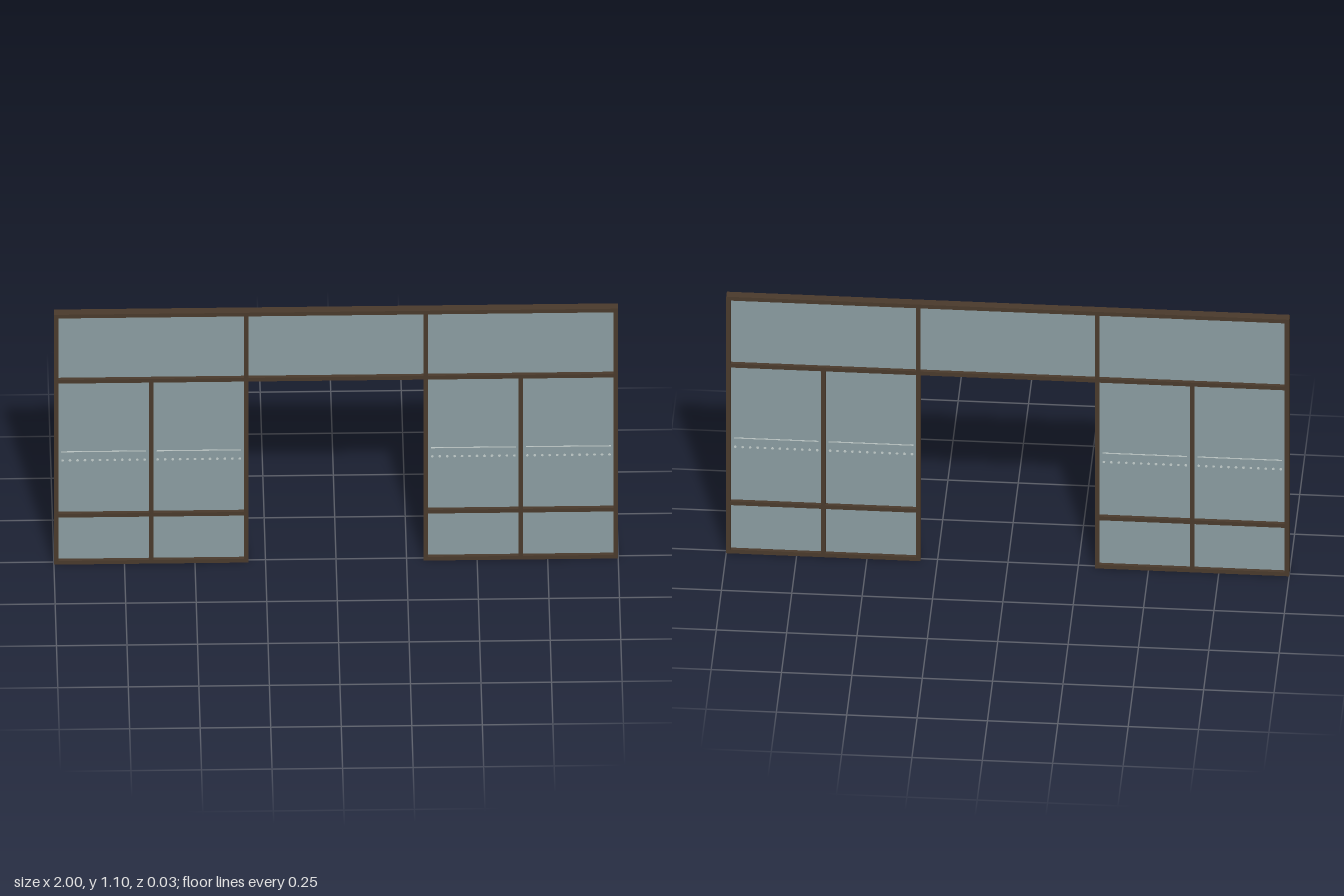
import * as THREE from 'three';

const H = 1.1, DEPTH = 0.032, BAR = 0.016;
const JAMB = 0.318, MULLION = 0.655, SIDE = 1 - BAR / 2;
const SILL = BAR / 2, RAIL = 0.215, TRANSOM = 0.805, HEAD = H - BAR / 2;

export function createModel() {
  const root = new THREE.Group();
  root.name = 'glazedPartition';
  const frameMat = new THREE.MeshStandardMaterial({ color: 0x4a3a2c });
  const glassMat = new THREE.MeshStandardMaterial({ color: 0x8b9da1 });
  const markMat = new THREE.MeshStandardMaterial({ color: 0xc4cecd });

  const box = (parent, name, mat, x0, x1, y0, y1, depth) => {
    const mesh = new THREE.Mesh(new THREE.BoxGeometry(x1 - x0, y1 - y0, depth), mat);
    mesh.position.set((x0 + x1) / 2, (y0 + y1) / 2, 0);
    mesh.name = name;
    parent.add(mesh);
  };
  const post = (parent, name, x, y0, y1, depth = DEPTH) =>
    box(parent, name, frameMat, x - BAR / 2, x + BAR / 2, y0, y1, depth);
  const rail = (parent, name, y, x0, x1, depth = DEPTH) =>
    box(parent, name, frameMat, x0 + BAR / 2, x1 - BAR / 2, y - BAR / 2, y + BAR / 2, depth);
  const pane = (parent, x0, x1, y0, y1) =>
    box(parent, 'glassPane', glassMat, x0 + BAR / 2, x1 - BAR / 2, y0 + BAR / 2, y1 - BAR / 2, 0.005);

  // Safety marking on a pane: a thin line over a row of dots, seen from both faces
  const dotGeo = new THREE.CylinderGeometry(0.005, 0.005, 0.007, 10).rotateX(Math.PI / 2);
  const marking = (parent, x0, x1) => {
    const a = x0 + 0.018, b = x1 - 0.018, count = 12;
    box(parent, 'markingLine', markMat, a, b, 0.485, 0.489, 0.007);
    for (let i = 0; i < count; i++) {
      const dot = new THREE.Mesh(dotGeo, markMat);
      dot.name = 'markingDot';
      dot.position.set(a + 0.005 + (b - a - 0.01) * i / (count - 1), 0.449, 0);
      parent.add(dot);
    }
  };

  // Two side screens flanking the doorway
  for (const s of [-1, 1]) {
    const screen = new THREE.Group();
    screen.name = s < 0 ? 'rightScreen' : 'leftScreen';
    root.add(screen);
    post(screen, 'endPost', s * SIDE, 0, H);
    post(screen, 'doorPost', s * JAMB, 0, H);
    post(screen, 'mullion', s * MULLION, BAR, TRANSOM - BAR / 2);

    for (const [a, b] of [[JAMB, MULLION], [MULLION, SIDE]]) {
      const x0 = Math.min(s * a, s * b), x1 = Math.max(s * a, s * b);
      rail(screen, 'lowerRail', RAIL, x0, x1);
      pane(screen, x0, x1, SILL, RAIL);
      pane(screen, x0, x1, RAIL, TRANSOM);
      marking(screen, x0, x1);
    }
    const x0 = Math.min(s * JAMB, s * SIDE), x1 = Math.max(s * JAMB, s * SIDE);
    rail(screen, 'sill', SILL, x0, x1);
    rail(screen, 'transom', TRANSOM, x0, x1);
    rail(screen, 'headRail', HEAD, x0, x1);
    pane(screen, x0, x1, TRANSOM, HEAD);
  }

  // Fanlight over the doorway
  const fanlight = new THREE.Group();
  fanlight.name = 'fanlight';
  root.add(fanlight);
  rail(fanlight, 'doorHead', TRANSOM, -JAMB, JAMB);
  rail(fanlight, 'headRail', HEAD, -JAMB, JAMB);
  pane(fanlight, -JAMB, JAMB, TRANSOM, HEAD);

  return root;
}
